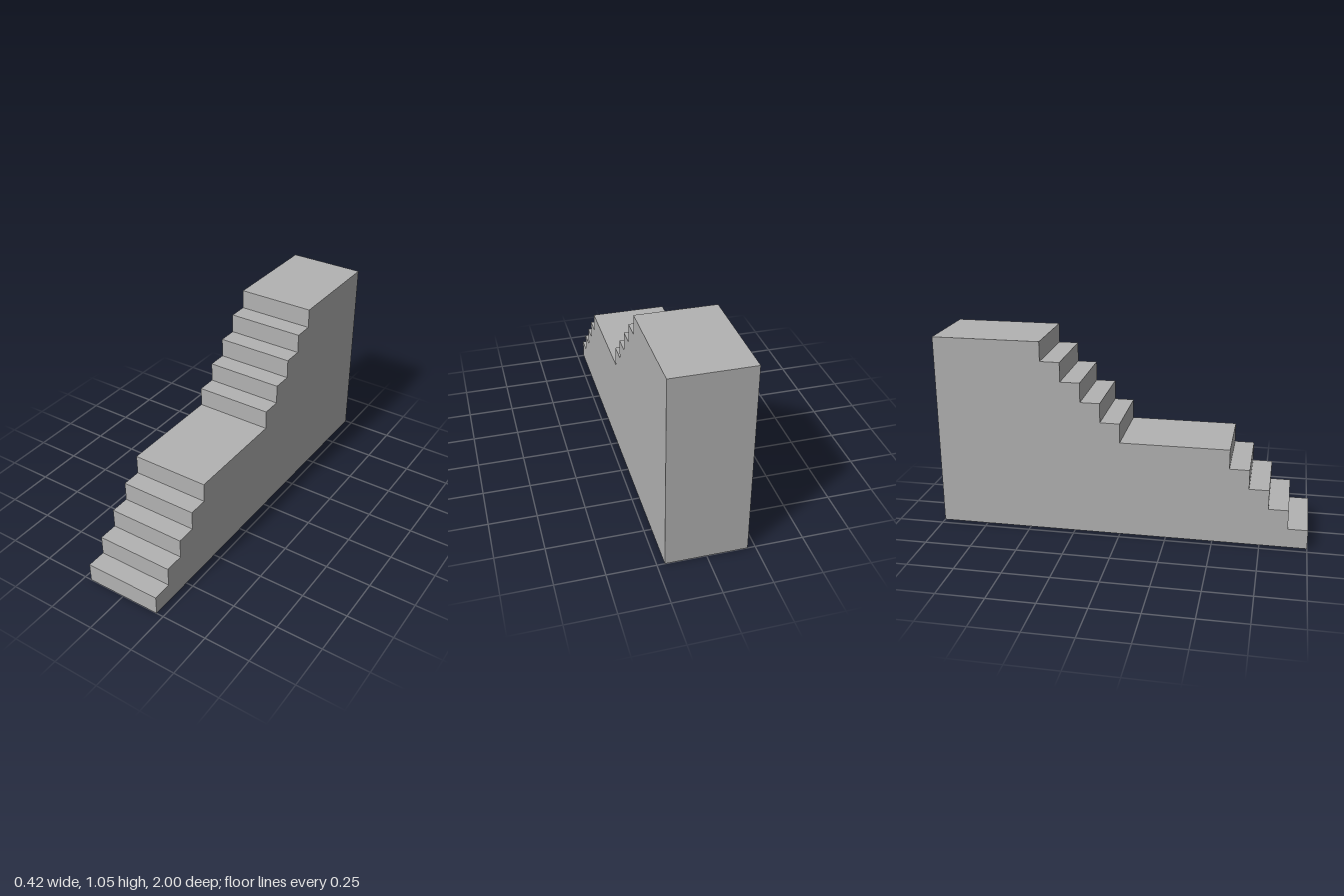
import * as THREE from 'three';

export function createModel() {
  const group = new THREE.Group();
  group.name = 'staircase';
  const concrete = new THREE.MeshStandardMaterial({ color: 0xb2b2b2 });
  concrete.name = 'grey concrete';

  const step = 2 / 19; // rise and run of one step
  const width = 4 * step;
  const stepsPerFlight = 5;
  const landingDepth = 5.5 * step;

  // Side profile: shape x runs along z, from the back foot to the first step
  const profile = new THREE.Shape();
  let z = 1;
  let y = 0;
  profile.moveTo(-1, 0);
  profile.lineTo(z, y);
  for (let flight = 0; flight < 2; flight++) {
    for (let i = 1; i <= stepsPerFlight; i++) {
      y += step;
      profile.lineTo(z, y); // riser
      z -= i < stepsPerFlight ? step : landingDepth;
      profile.lineTo(z, y); // tread, or landing at the end of the flight
    }
  }
  profile.closePath();

  // Solid block of two flights and two landings
  const geometry = new THREE.ExtrudeGeometry(profile, { depth: width, bevelEnabled: false });
  geometry.translate(0, 0, -width / 2);
  geometry.rotateY(-Math.PI / 2);
  const stairs = new THREE.Mesh(geometry, concrete);
  stairs.name = 'stairsWithLandings';
  group.add(stairs);
  return group;
}
